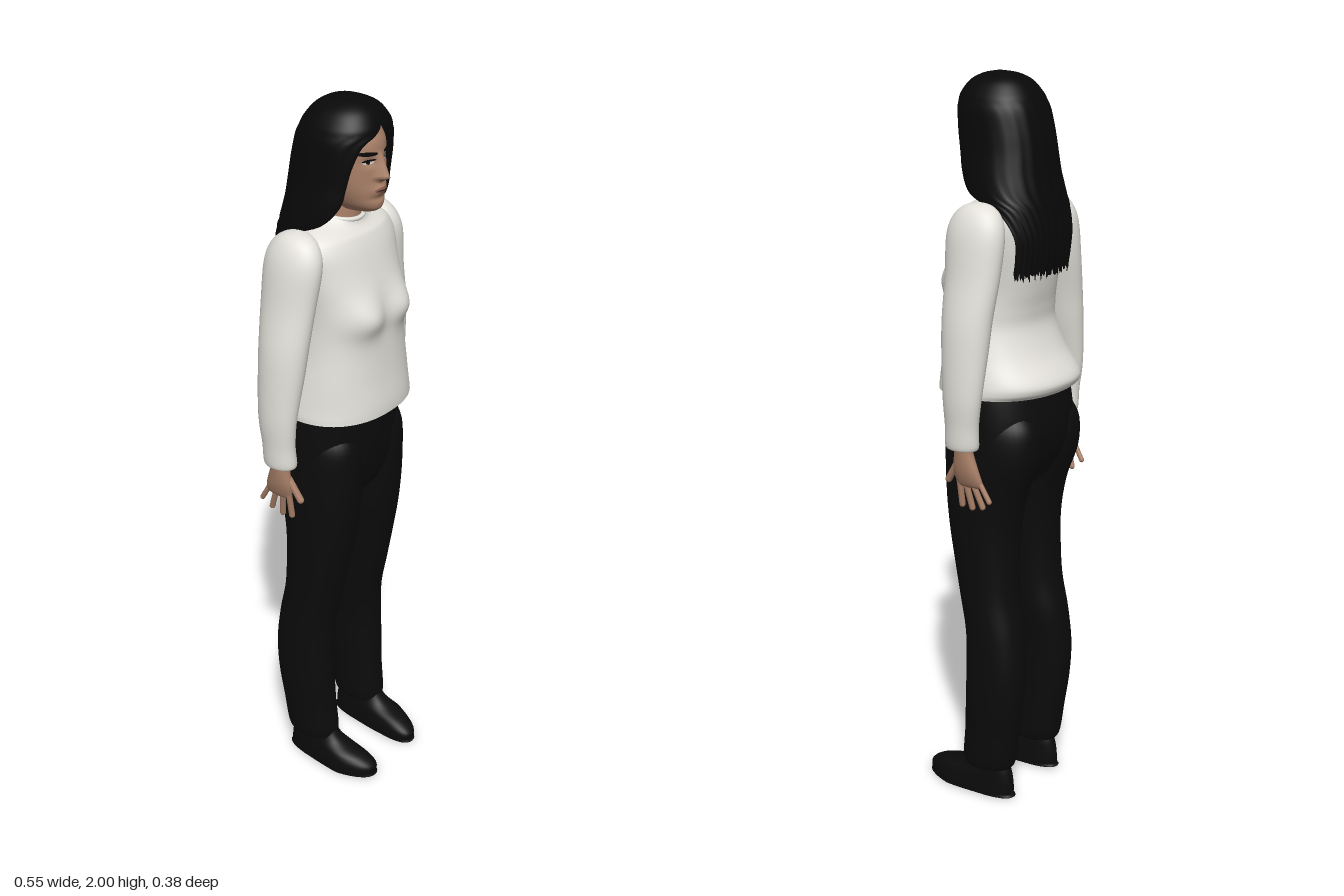
import * as THREE from 'three';

const mat = (name, color, double) => {
  const m = new THREE.MeshStandardMaterial({ color });
  m.name = name;
  if (double) m.side = THREE.DoubleSide;
  return m;
};
const gauss = (d, w) => Math.exp(-(d * d) / (w * w));
const clamp01 = (t) => Math.min(1, Math.max(0, t));

// Smooth loft through horizontal cross-sections listed from the top down:
// [y, centreX, radiusX, zFront, zBack, frontGapAngle]
function loft(sections, { side = 1, pow = 1, seg = 40, sub = 5, gapped = false, warp } = {}) {
  const size = 6;
  const flat = sections.flatMap((s) => [...s, 0].slice(0, size));
  const spline = new THREE.CubicInterpolant(sections.map((_, i) => i), flat, size, new Float32Array(size));
  const rows = (sections.length - 1) * sub;
  const cols = gapped ? seg + 1 : seg;
  const pos = [], index = [];
  const bend = (t) => Math.sign(t) * Math.abs(t) ** pow;
  const v = new THREE.Vector3();
  for (let i = 0; i <= rows; i++) {
    const [y, cx, rx, zf, zb, g] = spline.evaluate(i / sub);
    const gap = Math.max(0, g);
    for (let j = 0; j < cols; j++) {
      const a = Math.PI / 2 + gap + (j / seg) * (Math.PI * 2 - 2 * gap);
      v.set(side * cx + rx * bend(Math.cos(a)), y, (zf + zb) / 2 + ((zf - zb) / 2) * bend(Math.sin(a)));
      if (warp) warp(v, i / rows, j);
      pos.push(v.x, v.y, v.z);
    }
  }
  for (let i = 0; i < rows; i++) {
    for (let j = 0; j < seg; j++) {
      const k = (j + 1) % cols, p = i * cols, q = p + cols;
      index.push(p + j, p + k, q + j, p + k, q + k, q + j);
    }
  }
  const geo = new THREE.BufferGeometry();
  geo.setAttribute('position', new THREE.Float32BufferAttribute(pos, 3));
  geo.setIndex(index);
  geo.computeVertexNormals();
  return geo;
}

export function createModel() {
  const model = new THREE.Group();
  const skin = mat('skin', 0xa98068);
  const knit = mat('white knit', 0xe2e0d9, true);
  const cloth = mat('black cloth', 0x0b0b0b);
  const hairMat = mat('black hair', 0x080808, true);
  const lipMat = mat('lips', 0x85564a);
  const eyeWhite = mat('eye white', 0xc9c2ba);
  const add = (name, geo, material, parent = model) => {
    const mesh = new THREE.Mesh(geo, material);
    mesh.name = name;
    parent.add(mesh);
    return mesh;
  };

  // Head with nose, eye sockets and lips shaped into the front
  const head = add('head', loft([
    [1.96, 0, 0.001, 0.01, 0.01], [1.95, 0, 0.05, 0.075, -0.06], [1.91, 0, 0.077, 0.107, -0.085],
    [1.87, 0, 0.081, 0.115, -0.09], [1.82, 0, 0.079, 0.115, -0.085], [1.78, 0, 0.07, 0.117, -0.075],
    [1.745, 0, 0.053, 0.118, -0.06], [1.728, 0, 0.037, 0.11, -0.05], [1.719, 0, 0.026, 0.085, -0.04],
    [1.714, 0, 0.001, 0.03, 0.03],
  ], {
    seg: 112, sub: 9, pow: 0.95,
    warp: (v) => {
      if (v.z < 0.03) return;
      const { x, y } = v;
      const bridge = y > 1.815 ? clamp01((1.878 - y) / 0.063) : clamp01((y - 1.8) / 0.015);
      v.z += 0.029 * bridge * gauss(x, 0.008 + 0.008 * bridge);
      v.z -= 0.008 * gauss(Math.abs(x) - 0.033, 0.016) * gauss(y - 1.856, 0.012);
      v.z += 0.009 * gauss(x, 0.026) * gauss(y - 1.782, 0.012);
      v.z -= 0.004 * gauss(x, 0.03) * gauss(y - 1.76, 0.007);
    },
  }), skin);
  add('neck', loft([
    [1.79, 0, 0.05, 0.045, -0.065], [1.73, 0, 0.048, 0.045, -0.065], [1.66, 0, 0.056, 0.045, -0.07],
  ]), skin);

  // Thin face details pressed onto the head surface
  head.updateMatrixWorld(true);
  const ray = new THREE.Raycaster();
  const toBack = new THREE.Vector3(0, 0, -1);
  function patch(name, x, y, rx, ry, tilt, lift, material) {
    const geo = new THREE.RingGeometry(0.001, 1, 24, 4).scale(rx, ry, 1).rotateZ(tilt).translate(x, y, 0);
    const p = geo.attributes.position;
    for (let i = 0; i < p.count; i++) {
      ray.set(new THREE.Vector3(p.getX(i), p.getY(i), 1), toBack);
      const hit = ray.intersectObject(head)[0];
      p.setZ(i, (hit ? hit.point.z : 0.1) + lift);
    }
    geo.computeVertexNormals();
    add(name, geo, material);
  }
  for (const s of [1, -1]) {
    patch('eyebrow', s * 0.037, 1.877, 0.025, 0.0055, s * 0.08, 0.002, hairMat);
    patch('eyeWhite', s * 0.034, 1.855, 0.014, 0.0048, 0, 0.0015, eyeWhite);
    patch('iris', s * 0.034, 1.855, 0.005, 0.0048, 0, 0.0025, hairMat);
    patch('lashes', s * 0.034, 1.86, 0.017, 0.003, -s * 0.06, 0.003, hairMat);
    patch('nostril', s * 0.007, 1.808, 0.004, 0.002, 0, 0.001, lipMat);
  }
  patch('lips', 0, 1.782, 0.024, 0.0075, 0, 0.0012, lipMat);
  patch('mouthLine', 0, 1.782, 0.021, 0.0012, 0, 0.002, hairMat);

  // Long hair: a shell that opens around the face and narrows to a panel down the back
  add('hair', loft([
    [2.0, 0, 0.001, 0.02, 0.02], [1.993, 0, 0.038, 0.06, -0.03], [1.975, 0, 0.073, 0.093, -0.065],
    [1.945, 0, 0.098, 0.114, -0.09, 0], [1.925, 0, 0.107, 0.119, -0.1, 0.15], [1.9, 0, 0.114, 0.12, -0.11, 0.52],
    [1.85, 0, 0.118, 0.117, -0.122, 0.72], [1.8, 0, 0.122, 0.11, -0.13, 0.78], [1.75, 0, 0.13, 0.1, -0.136, 0.82],
    [1.7, 0, 0.137, 0.08, -0.145, 1.1], [1.66, 0, 0.137, 0.03, -0.153, 1.65], [1.6, 0, 0.135, 0.0, -0.16, 1.95],
    [1.55, 0, 0.133, 0.0, -0.157, 2.0], [1.495, 0, 0.133, 0.0, -0.147, 2.0],
  ], {
    seg: 72, sub: 5, pow: 0.85, gapped: true,
    warp: (v, t, j) => {
      const strand = Math.sin(j * 1.7) * Math.sin(j * 0.63 + 1);
      if (t > 0.999) v.y += 0.018 * strand;
      if (t > 0.3) v.z += 0.002 * Math.sin(j * 1.3) * t;
    },
  }), hairMat);

  // Sweater body, open at the hem
  add('sweaterBody', loft([
    [1.71, 0, 0.058, 0.052, -0.072], [1.692, 0, 0.088, 0.06, -0.092], [1.67, 0, 0.145, 0.072, -0.108],
    [1.63, 0, 0.172, 0.092, -0.122], [1.57, 0, 0.168, 0.113, -0.128], [1.5, 0, 0.158, 0.136, -0.126],
    [1.45, 0, 0.155, 0.147, -0.12], [1.4, 0, 0.158, 0.143, -0.112], [1.35, 0, 0.164, 0.144, -0.112],
    [1.28, 0, 0.178, 0.15, -0.142], [1.22, 0, 0.19, 0.158, -0.186], [1.195, 0, 0.194, 0.16, -0.187],
    [1.18, 0, 0.194, 0.16, -0.172],
  ], {
    seg: 72, sub: 6, pow: 0.88,
    warp: (v) => {
      if (v.z < 0) return;
      v.y -= 0.35 * v.z * clamp01((v.y - 1.66) / 0.04);
      v.z += 0.021 * gauss(Math.abs(v.x) - 0.075, 0.05) * gauss(v.y - 1.462, 0.05);
      v.z -= 0.006 * gauss(v.x, 0.03) * gauss(v.y - 1.46, 0.06);
    },
  }), knit);
  const collar = add('collar', new THREE.TorusGeometry(0.058, 0.006, 8, 40), knit);
  collar.rotation.x = Math.PI / 2 + 0.18;
  collar.scale.y = 1.07;
  collar.position.set(0, 1.703, -0.01);

  // Trousers: hips plus two legs
  add('trouserHips', loft([
    [1.24, 0, 0.17, 0.118, -0.138], [1.18, 0, 0.181, 0.12, -0.153], [1.08, 0, 0.184, 0.12, -0.166],
    [1.0, 0, 0.178, 0.112, -0.15], [0.93, 0, 0.13, 0.088, -0.105], [0.89, 0, 0.05, 0.045, -0.05],
    [0.88, 0, 0.001, 0, 0],
  ], { pow: 0.88, seg: 56 }), cloth);

  for (const side of [1, -1]) {
    const word = side > 0 ? 'left' : 'right';
    add(word + 'Leg', loft([
      [1.13, 0.09, 0.07, 0.09, -0.14], [1.08, 0.091, 0.086, 0.114, -0.164], [1.0, 0.092, 0.091, 0.117, -0.16],
      [0.9, 0.093, 0.09, 0.112, -0.122], [0.8, 0.096, 0.085, 0.1, -0.102], [0.7, 0.1, 0.078, 0.082, -0.1],
      [0.6, 0.103, 0.073, 0.063, -0.106], [0.5, 0.107, 0.071, 0.043, -0.125], [0.4, 0.114, 0.066, 0.039, -0.135],
      [0.3, 0.115, 0.065, 0.042, -0.13], [0.2, 0.113, 0.061, 0.047, -0.116], [0.1, 0.111, 0.056, 0.055, -0.1],
      [0.09, 0.111, 0.03, 0.03, -0.07],
    ], { side, pow: 0.92 }), cloth);

    add(word + 'Shoe', loft([
      [0.13, 0.11, 0.034, 0.04, -0.07], [0.085, 0.109, 0.042, 0.08, -0.09], [0.058, 0.109, 0.048, 0.15, -0.097],
      [0.035, 0.109, 0.051, 0.187, -0.1], [0.012, 0.109, 0.052, 0.189, -0.1], [0.001, 0.109, 0.046, 0.18, -0.094],
      [0.0, 0.109, 0.001, 0.05, 0.05],
    ], {
      side, pow: 0.85,
      // slimmer heel, toe rounded towards the inside
      warp: (v) => {
        const c = side * 0.109;
        v.x = c + (v.x - c) * (v.z < 0 ? 0.85 : 0.85 + 0.15 * clamp01(v.z / 0.1));
        v.x -= side * 0.015 * clamp01((v.z - 0.1) / 0.09);
      },
    }), cloth);

    add(word + 'Sleeve', loft([
      [1.686, 0.148, 0.001, -0.025, -0.025], [1.677, 0.152, 0.028, 0.015, -0.065], [1.65, 0.158, 0.045, 0.045, -0.095],
      [1.6, 0.168, 0.053, 0.058, -0.11], [1.5, 0.186, 0.051, 0.05, -0.108], [1.4, 0.207, 0.051, 0.044, -0.1],
      [1.32, 0.219, 0.048, 0.038, -0.096], [1.2, 0.235, 0.038, 0.026, -0.088], [1.12, 0.235, 0.034, 0.02, -0.078],
      [1.062, 0.232, 0.034, 0.021, -0.075], [1.06, 0.232, 0.02, 0.0, -0.055],
    ], { side }), knit);

    // Hand: palm, four spread fingers and a thumb
    const hand = new THREE.Group();
    hand.name = word + 'Hand';
    model.add(hand);
    add('palm', loft([
      [1.09, 0.231, 0.02, -0.005, -0.055], [1.05, 0.23, 0.02, -0.003, -0.058], [1.0, 0.227, 0.018, 0.004, -0.075],
      [0.967, 0.222, 0.014, 0.0, -0.084], [0.953, 0.22, 0.008, -0.006, -0.076], [0.95, 0.22, 0.001, -0.04, -0.04],
    ], { side, seg: 24 }), skin, hand);
    const digits = [
      ['thumb', [0.224, 1.015, -0.006], [0.219, 0.96, 0.028], 0.0095],
      ['indexFinger', [0.222, 0.97, -0.01], [0.21, 0.895, -0.01], 0.0085],
      ['middleFinger', [0.222, 0.965, -0.03], [0.209, 0.891, -0.042], 0.0085],
      ['ringFinger', [0.222, 0.967, -0.052], [0.211, 0.899, -0.077], 0.008],
      ['littleFinger', [0.222, 0.975, -0.072], [0.219, 0.921, -0.104], 0.007],
    ];
    for (const [name, a, b, r] of digits) {
      const from = new THREE.Vector3(side * a[0], a[1], a[2]);
      const to = new THREE.Vector3(side * b[0], b[1], b[2]);
      const dir = to.clone().sub(from);
      const finger = add(name, new THREE.CapsuleGeometry(r, dir.length(), 6, 12), skin, hand);
      finger.position.copy(from).lerp(to, 0.5);
      finger.quaternion.setFromUnitVectors(new THREE.Vector3(0, 1, 0), dir.normalize());
    }
  }
  return model;
}
